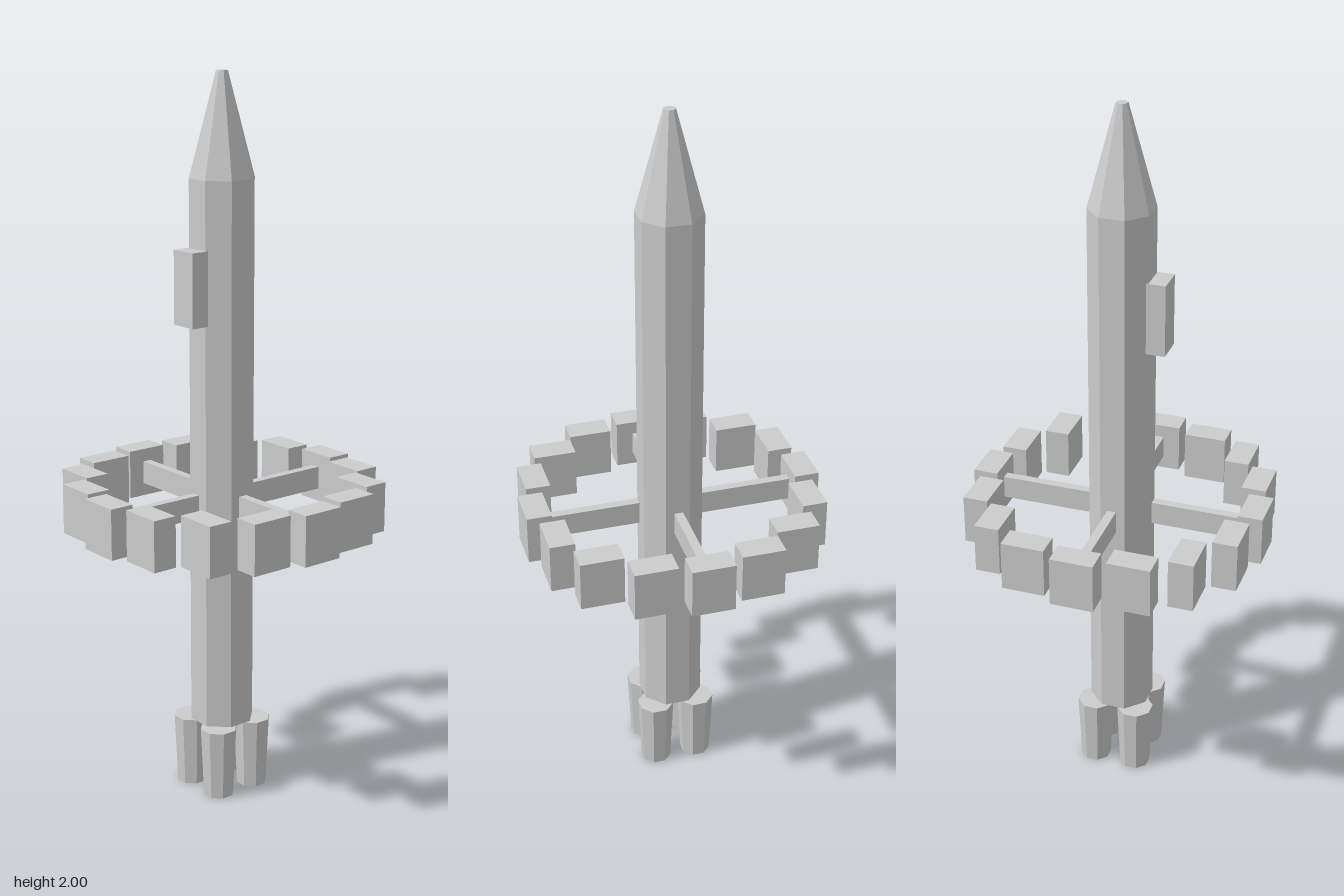
import * as THREE from 'three';

export function createModel() {
  const model = new THREE.Group();
  model.name = 'spacecraft';
  const hullGrey = new THREE.MeshStandardMaterial({ color: 0xcccccc, flatShading: true });
  hullGrey.name = 'hull grey';

  function add(name, geometry, x, y, z) {
    const mesh = new THREE.Mesh(geometry, hullGrey);
    mesh.name = name;
    mesh.position.set(x, y, z);
    model.add(mesh);
    return mesh;
  }

  // Octagonal prism or taper with flat sides facing the axes
  const octagon = (top, bottom, height) =>
    new THREE.CylinderGeometry(top, bottom, height, 8).rotateY(Math.PI / 8);

  // Fuselage and nose cone
  add('fuselage', octagon(0.09, 0.09, 1.525), 0, 0.9625, 0);
  add('noseCone', octagon(0.016, 0.09, 0.275), 0, 1.8625, 0);

  // Hatch block on the front
  add('frontHatch', new THREE.BoxGeometry(0.079, 0.2, 0.053), 0, 1.443, 0.1035);

  // Four tapered engines
  const engine = octagon(0.052, 0.043, 0.2);
  for (const x of [-0.06, 0.06])
    for (const z of [-0.06, 0.06]) add('engine', engine, x, 0.1, z);

  // Ring of sixteen axis-aligned modules, long side turned near the x ends
  const ringY = 0.842, ringRadius = 0.38;
  const wide = new THREE.BoxGeometry(0.119, 0.139, 0.069);
  const deep = new THREE.BoxGeometry(0.069, 0.139, 0.119);
  for (let i = 0; i < 16; i++) {
    const a = (i / 16) * Math.PI * 2;
    const sideways = Math.abs(Math.sin(a)) > 0.8;
    add('ringModule', sideways ? deep : wide,
      Math.sin(a) * ringRadius, ringY, Math.cos(a) * ringRadius);
  }

  // Four spokes reaching from the fuselage to the ring
  const spoke = new THREE.BoxGeometry(0.025, 0.065, 0.256);
  for (let i = 0; i < 4; i++) {
    const a = (i * Math.PI) / 2;
    add('spoke', spoke, Math.sin(a) * 0.218, ringY, Math.cos(a) * 0.218).rotation.y = a;
  }

  return model;
}
